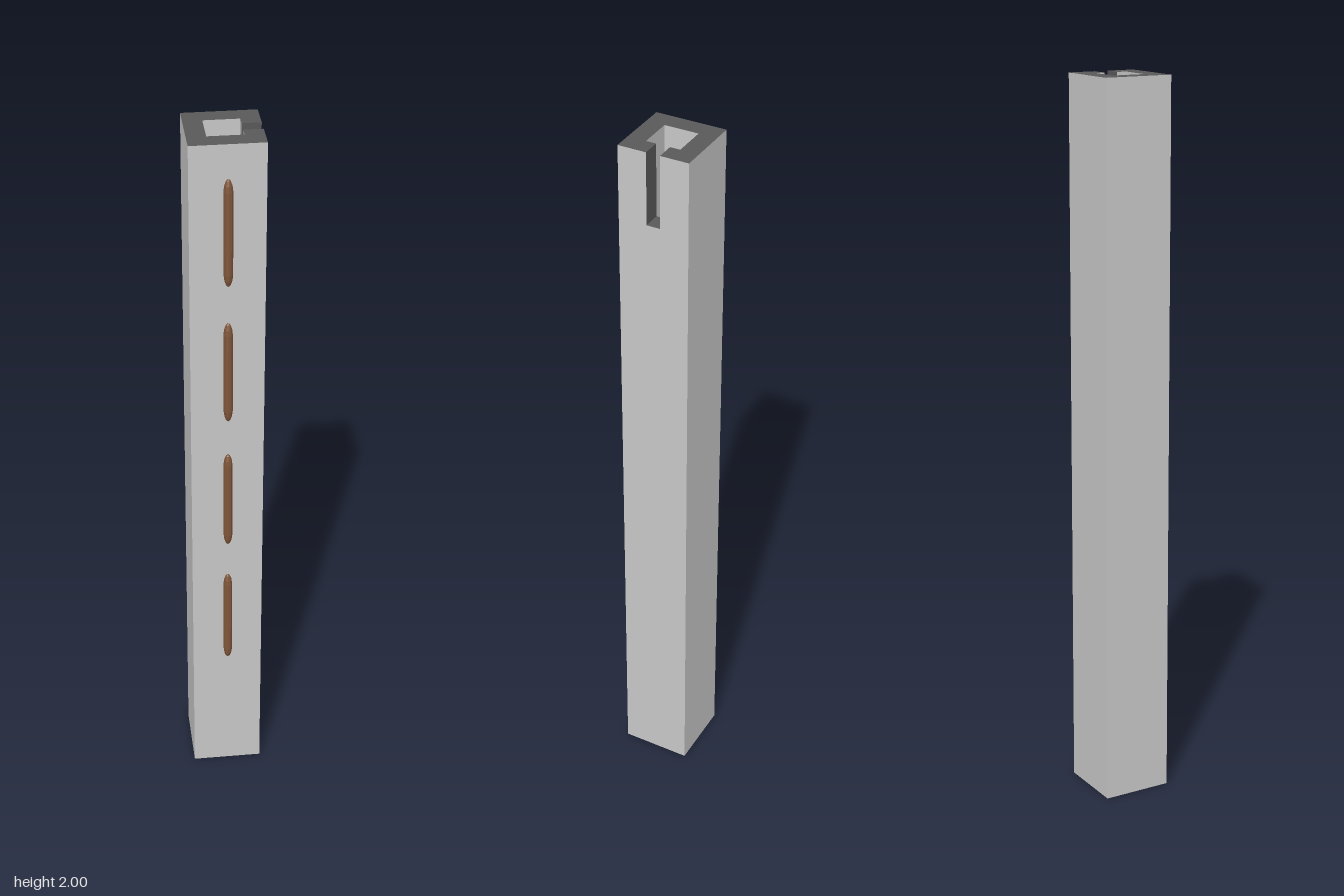
import * as THREE from 'three';
import { mergeGeometries } from 'three/addons/utils/BufferGeometryUtils.js';

const W = 0.0975;   // outer half width
const V = 0.047;    // bore half width
const S = 0.019;    // slot half width
const H = 2;        // height
const SLOT_Y = 1.8; // slot floor
const CENTRE_Z = -0.0125;

const outline = (pts) => new THREE.Shape(pts.map(([x, y]) => new THREE.Vector2(x, y)));
const face = (pts) => new THREE.ShapeGeometry(outline(pts));

// Upright wall surface, optionally notched for the slot
function wall(half, notched) {
  const notch = notched ? [[S, H], [S, SLOT_Y], [-S, SLOT_Y], [-S, H]] : [];
  return face([[-half, 0], [half, 0], [half, H], ...notch, [-half, H]]);
}

export function createModel() {
  const model = new THREE.Group();
  const lightGrey = new THREE.MeshStandardMaterial({ color: 0xc8c8c8 });
  const darkGrey = new THREE.MeshStandardMaterial({ color: 0x595959 });
  const brown = new THREE.MeshStandardMaterial({ color: 0x80563a, flatShading: true });
  lightGrey.name = 'lightGrey';
  darkGrey.name = 'darkGrey';
  brown.name = 'brown';

  const post = new THREE.Group();
  post.name = 'post';
  post.position.z = CENTRE_Z;
  model.add(post);
  const add = (parent, name, geometry, material) => {
    const mesh = new THREE.Mesh(geometry, material);
    mesh.name = name;
    parent.add(mesh);
    return mesh;
  };

  // Four outer walls and four bore walls; the slot cuts the +x side
  const outer = [], bore = [];
  for (let i = 0; i < 4; i++) {
    const angle = i * Math.PI / 2;
    outer.push(wall(W, i === 1).translate(0, 0, W).rotateY(angle));
    bore.push(wall(V, i === 3).translate(0, 0, -V).rotateY(angle));
  }
  add(post, 'outerWalls', mergeGeometries(outer), lightGrey);
  add(post, 'boreWalls', mergeGeometries(bore), lightGrey);

  // Top rim, open at the slot
  const rim = face([
    [W, S], [W, W], [-W, W], [-W, -W], [W, -W], [W, -S],
    [V, -S], [V, -V], [-V, -V], [-V, V], [V, V], [V, S],
  ]);
  add(post, 'topRim', rim.rotateX(-Math.PI / 2).translate(0, H, 0), darkGrey);

  // Bottom rim, a closed square ring
  const ring = outline([[-W, -W], [W, -W], [W, W], [-W, W]]);
  ring.holes.push(outline([[-V, -V], [-V, V], [V, V], [V, -V]]));
  add(post, 'bottomRim', new THREE.ShapeGeometry(ring).rotateX(Math.PI / 2), darkGrey);

  // Cut faces of the slot: floor and two cheeks
  const mid = (W + V) / 2, depth = H - SLOT_Y;
  const cheek = () => new THREE.PlaneGeometry(W - V, depth);
  add(post, 'slotFaces', mergeGeometries([
    new THREE.PlaneGeometry(W - V, 2 * S).rotateX(-Math.PI / 2).translate(mid, SLOT_Y, 0),
    cheek().translate(mid, SLOT_Y + depth / 2, -S),
    cheek().rotateY(Math.PI).translate(mid, SLOT_Y + depth / 2, S),
  ]), darkGrey);

  // Four slim pegs with tapered ends down the front
  const half = [[0.0125, 0.115], [0.0105, 0.131], [0.006, 0.144], [0, 0.15]];
  const profile = [
    ...half.map(([r, y]) => new THREE.Vector2(r, -y)).reverse(),
    ...half.map(([r, y]) => new THREE.Vector2(r, y)),
  ];
  const pegGeometry = new THREE.LatheGeometry(profile, 10);
  for (let i = 0; i < 4; i++) {
    add(model, 'frontPeg' + (i + 1), pegGeometry, brown).position.set(0, 0.553 + i * 0.404, 0.0975);
  }
  return model;
}
